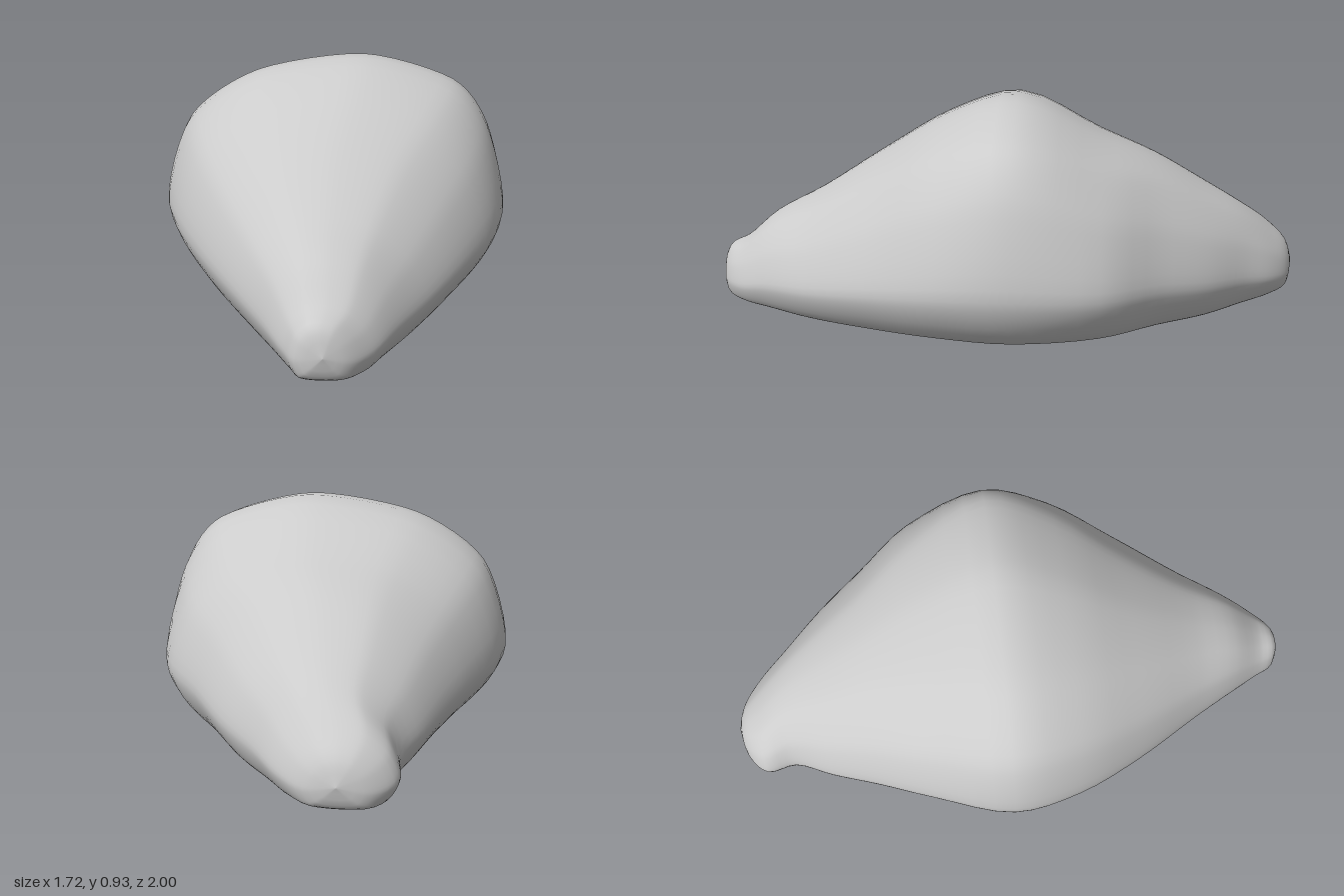
import * as THREE from 'three';

// Stations along the long axis: [position, side min, side max, bottom, top]
const STATIONS = [
  [-1.21, -0.08, -0.08, 0.17, 0.17],
  [-1.18, -0.2, 0.04, 0.08, 0.26],
  [-1.1, -0.285, 0.15, 0.06, 0.34],
  [-0.97, -0.275, 0.265, 0.05, 0.44],
  [-0.81, -0.345, 0.42, 0.04, 0.54],
  [-0.61, -0.42, 0.575, 0.04, 0.66],
  [-0.38, -0.51, 0.75, 0.04, 0.77],
  [-0.04, -0.62, 0.815, 0.035, 0.93],
  [0.245, -0.565, 0.77, 0.03, 0.84],
  [0.53, -0.425, 0.63, 0.01, 0.665],
  [0.81, -0.25, 0.46, 0.0, 0.485],
  [1.0, -0.14, 0.34, 0.01, 0.385],
  [1.13, -0.065, 0.255, 0.02, 0.275],
  [1.21, -0.02, 0.17, 0.04, 0.23],
  [1.24, 0.08, 0.08, 0.13, 0.13],
];

// Unit cross-sections (side -1..1, height 0..1): broad middle, back end, front end
const MIDDLE = [[-1, 0.3], [-0.86, 0.7], [-0.46, 0.92], [0.17, 1], [0.7, 0.88], [0.9, 0.67],
  [1, 0.28], [0.83, 0.04], [0.4, 0], [-0.4, 0], [-0.8, 0.05]];
const BACK = [[-1, 0.35], [-0.82, 0.7], [-0.44, 0.94], [0, 1], [0.42, 0.94], [0.8, 0.7],
  [1, 0.35], [0.78, 0.06], [0.35, 0], [-0.35, 0], [-0.78, 0.06]];
const FRONT = [[-1, 0.36], [-0.84, 0.74], [-0.48, 0.96], [-0.05, 1], [0.42, 0.92], [0.8, 0.67],
  [1, 0.34], [0.78, 0.06], [0.35, 0], [-0.35, 0], [-0.78, 0.06]];

function loftBody(rows, cols) {
  // One rail per profile point, running from end to end
  const rails = MIDDLE.map((m, j) => new THREE.CatmullRomCurve3(STATIONS.map(([w, lo, hi, bottom, top]) => {
    const k = Math.min(1, Math.abs(w) / 0.7);
    const end = (w < 0 ? BACK : FRONT)[j];
    const s = THREE.MathUtils.lerp(m[0], end[0], k);
    const h = THREE.MathUtils.lerp(m[1], end[1], k);
    return new THREE.Vector3((lo + hi) / 2 + s * (hi - lo) / 2, bottom + h * (top - bottom), w);
  })));

  const positions = [], index = [];
  for (let i = 0; i <= rows; i++) {
    const ring = new THREE.CatmullRomCurve3(rails.map((r) => r.getPoint(i / rows)), true, 'catmullrom', 0.4);
    for (let j = 0; j < cols; j++) {
      const p = ring.getPoint(j / cols);
      positions.push(p.x, Math.max(0, p.y), p.z);
      if (i === rows) continue;
      const a = i * cols + j, b = i * cols + (j + 1) % cols;
      // The end rings collapse to points, so each needs one triangle per step
      index.push(a, a + cols, b + (i < rows - 1 ? cols : 0));
      if (i > 0 && i < rows - 1) index.push(a, b + cols, b);
    }
  }
  const geometry = new THREE.BufferGeometry();
  geometry.setAttribute('position', new THREE.Float32BufferAttribute(positions, 3));
  geometry.setIndex(index);
  geometry.computeVertexNormals();
  return geometry;
}

export function createModel() {
  const group = new THREE.Group();
  group.name = 'boulder';
  const geometry = loftBody(56, 66);
  geometry.rotateY(THREE.MathUtils.degToRad(35)); // long axis lies diagonally
  const body = new THREE.Mesh(geometry, new THREE.MeshStandardMaterial({ color: 0xcccccc }));
  body.name = 'boulderBody';
  group.add(body);
  return group;
}
